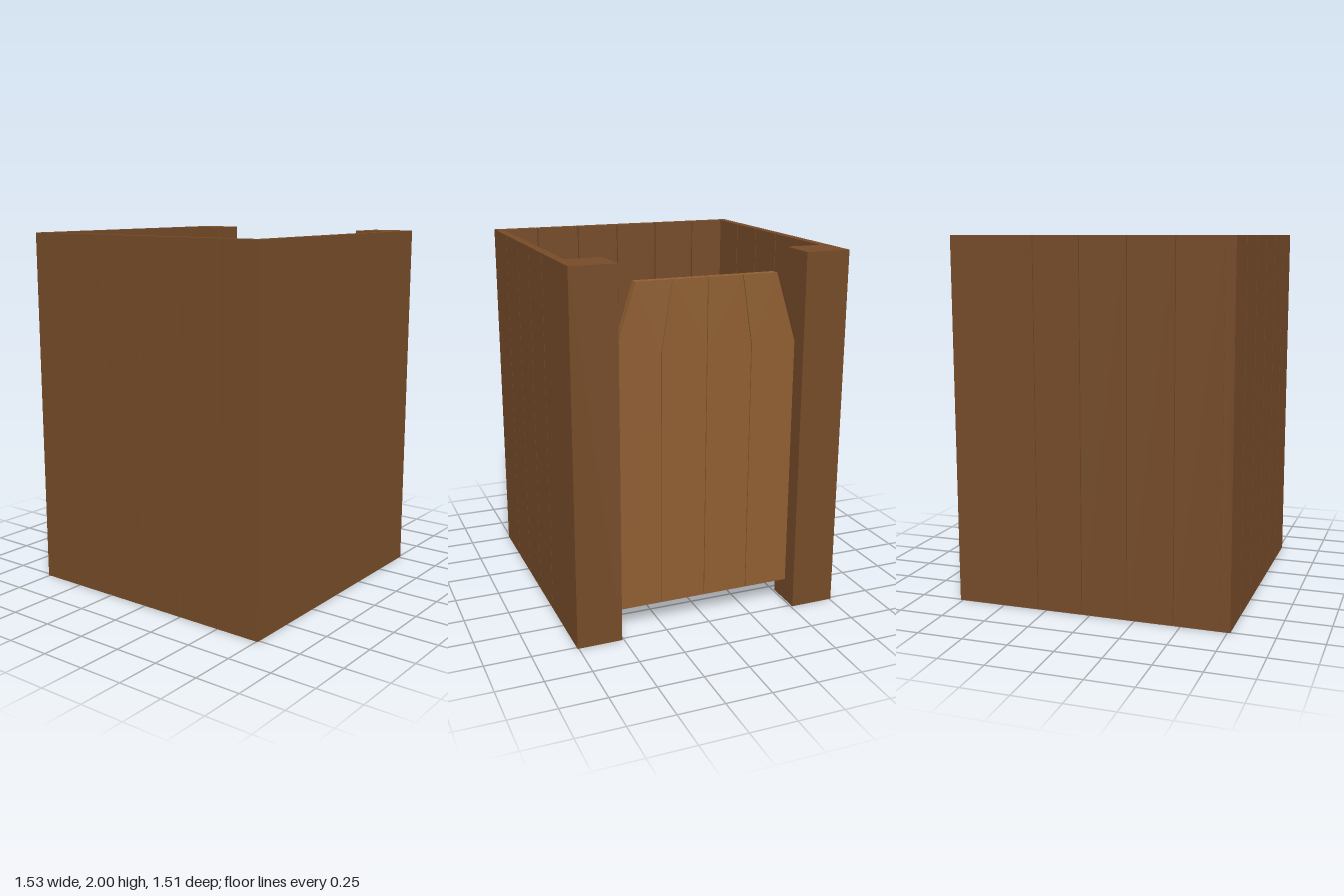
import * as THREE from 'three';

const material = (color) => new THREE.MeshStandardMaterial({ color, flatShading: true, side: THREE.DoubleSide });

// Removes the triangles that lie on the ground
function openBottom(geometry) {
  const source = geometry.index ? geometry.toNonIndexed() : geometry;
  const p = source.attributes.position;
  const kept = [];
  for (let i = 0; i < p.count; i += 3) {
    if (Math.max(p.getY(i), p.getY(i + 1), p.getY(i + 2)) < 1e-5) continue;
    for (let j = i; j < i + 3; j++) kept.push(p.getX(j), p.getY(j), p.getZ(j));
  }
  const open = new THREE.BufferGeometry();
  open.setAttribute('position', new THREE.Float32BufferAttribute(kept, 3));
  open.computeVertexNormals();
  return open;
}

// Box given by its low and high limits on each axis
function box([x0, x1], [y0, y1], [z0, z1]) {
  const geometry = new THREE.BoxGeometry(x1 - x0, y1 - y0, z1 - z0);
  return geometry.translate((x0 + x1) / 2, (y0 + y1) / 2, (z0 + z1) / 2);
}

function extrude(points, depth) {
  const shape = new THREE.Shape(points.map(([x, y]) => new THREE.Vector2(x, y)));
  return new THREE.ExtrudeGeometry(shape, { depth, bevelEnabled: false });
}

export function createModel() {
  const model = new THREE.Group();
  const wallWood = material(0x754b28);
  const doorWood = material(0x8e5e31);
  const stone = material(0x787878);
  const iron = material(0x404a54);
  const dark = material(0x2a2a2a);

  const add = (name, geometry, mat, parent = model) => {
    const mesh = new THREE.Mesh(geometry, mat);
    mesh.name = name;
    parent.add(mesh);
    return mesh;
  };
  const group = (name) => {
    const g = new THREE.Group();
    g.name = name;
    model.add(g);
    return g;
  };

  // Back wall: six upright hollow planks with narrow gaps
  const backWall = group('backWall');
  const backEdges = [-0.757, -0.508, -0.255, -0.002, 0.251, 0.504, 0.757];
  for (let i = 0; i < 6; i++) {
    const z = [backEdges[i] + (i ? 0.003 : 0), backEdges[i + 1] - (i < 5 ? 0.003 : 0)];
    add('backPlank', openBottom(box([-0.765, -0.7125], [0, 2], z)), wallWood, backWall);
  }

  // Side walls: four hollow planks, then one joined to a corner post
  for (const side of [1, -1]) {
    const wall = group(side > 0 ? 'frontSideWall' : 'rearSideWall');
    const z = side > 0 ? [0.709, 0.757] : [-0.757, -0.709];
    for (let i = 0; i < 4; i++) {
      const end = -0.465 + i * 0.2535;
      const start = i ? end - 0.2485 : -0.7115;
      add('sidePlank', openBottom(box([start, end], [0, 2], z)), wallWood, wall);
    }
    const outline = [[0.3, 0.757], [0.3, 0.709], [0.547, 0.709], [0.547, 0.51], [0.765, 0.51], [0.765, 0.757]];
    const post = extrude(outline.map(([x, d]) => [x, -side * d]), 2).rotateX(-Math.PI / 2);
    add('cornerPost', openBottom(post), wallWood, wall);
  }

  // Door: four planks whose upper ends lean inward
  const door = group('door');
  const taper = 0.77;
  for (let i = 0; i < 4; i++) {
    const a = -0.505 + i * 0.2525 + (i ? 0.002 : 0);
    const b = -0.505 + (i + 1) * 0.2525 - (i < 3 ? 0.002 : 0);
    // The outline runs along -z, so that the turned plank faces +x
    const plank = extrude(
      [[a, 0.13], [b, 0.13], [b, 1.52], [b * taper, 1.89], [a * taper, 1.89], [a, 1.52]], 0.049);
    add('doorPlank', plank.rotateY(Math.PI / 2).translate(0.627, 0, 0), doorWood, door);
  }
  for (const y of [0.385, 1.235]) {
    add('hinge', box([0.635, 0.665], [y - 0.025, y + 0.025], [-0.512, -0.495]), dark, door);
  }

  // Stepped bench, open underneath, let slightly into the walls
  const half = 0.711;
  const steps = [[-0.714, 0], [-0.088, 0], [-0.088, 0.16], [-0.26, 0.16], [-0.26, 0.535], [-0.714, 0.535]];
  add('bench', openBottom(extrude(steps, half * 2).translate(0, 0, -half)), stone);

  // Ten-sided pot: thick rim, raised floor, hollow underside
  const profile = [[0, 0.25], [0.172, 0.25], [0.172, 0.16], [0.178, 0.16], [0.178, 0.552], [0.157, 0.552],
    [0.157, 0.26], [0, 0.26]].map(([r, y]) => new THREE.Vector2(r, y));
  add('pot', new THREE.LatheGeometry(profile, 10), iron).position.set(-0.49, 0, 0.005);

  return model;
}
